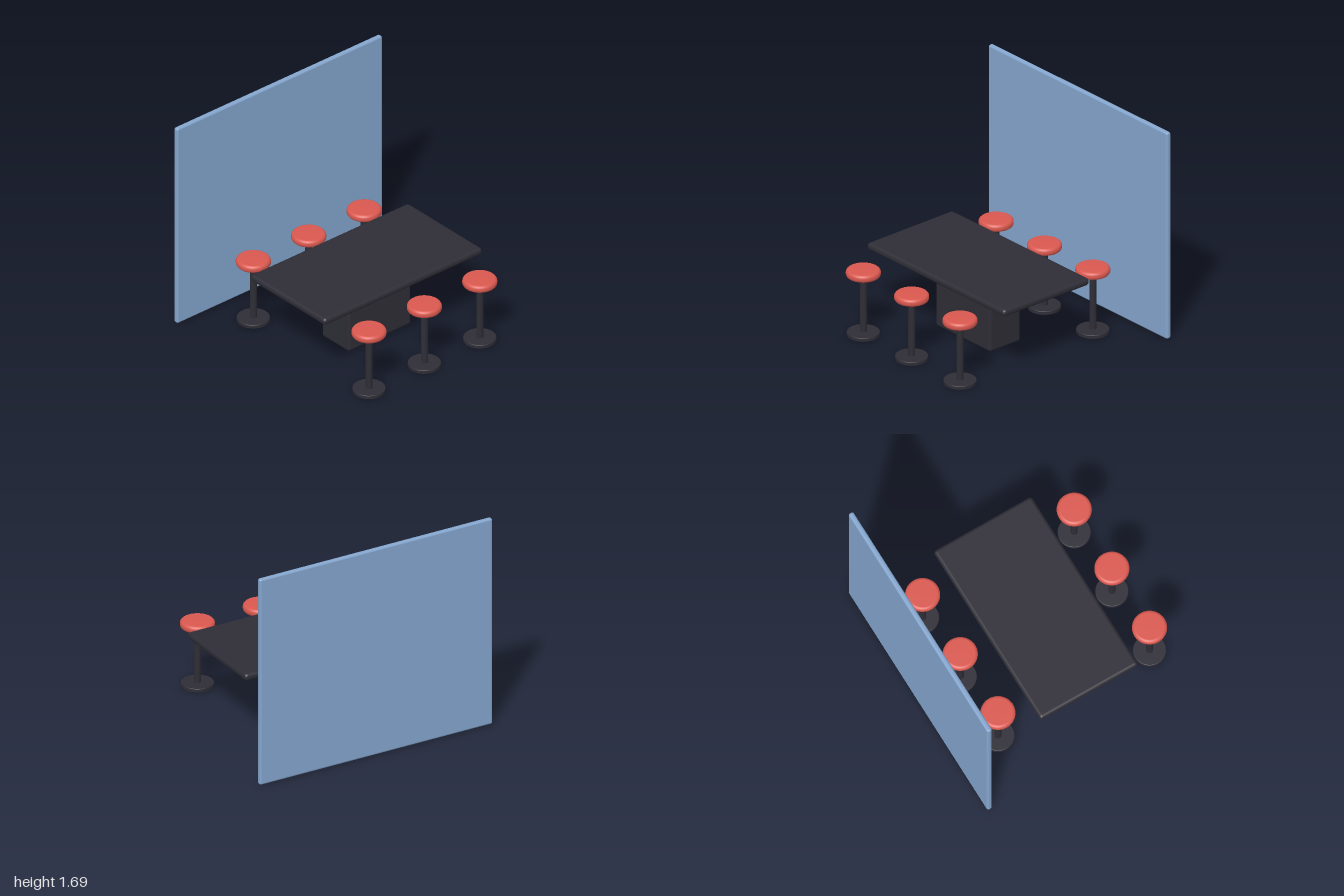
import * as THREE from 'three';
import { RoundedBoxGeometry } from 'three/addons/geometries/RoundedBoxGeometry.js';

const material = (name, color) => {
  const m = new THREE.MeshStandardMaterial({ color });
  m.name = name;
  return m;
};

export function createModel() {
  const red = material('seat red', 0xd9584f);
  const dark = material('charcoal', 0x2e2d36);
  const blue = material('panel blue', 0x84a5cd);
  const model = new THREE.Group();
  model.name = 'diningSet';

  const add = (parent, name, geometry, mat, x, y, z) => {
    const mesh = new THREE.Mesh(geometry, mat);
    mesh.name = name;
    mesh.position.set(x, y, z);
    parent.add(mesh);
    return mesh;
  };
  const box = (w, h, d, r) => new RoundedBoxGeometry(w, h, d, 4, r);

  // Disc standing on y = 0 with a rounded rim
  const disc = (radius, height, r) => {
    const points = [new THREE.Vector2(0, 0)];
    const steps = 5;
    for (const [cy, start] of [[r, -Math.PI / 2], [height - r, 0]]) {
      for (let i = 0; i <= steps; i++) {
        const a = start + (i / steps) * Math.PI / 2;
        points.push(new THREE.Vector2(radius - r + Math.cos(a) * r, cy + Math.sin(a) * r));
      }
    }
    points.push(new THREE.Vector2(0, height));
    return new THREE.LatheGeometry(points, 40);
  };

  // Partition wall and table
  add(model, 'partitionWall', box(0.042, 1.69, 2, 0.016), blue, -0.879, 0.845, 0);
  add(model, 'tableTop', box(0.842, 0.058, 1.54, 0.026), dark, 0.115, 0.569, 0);
  add(model, 'tablePedestal', box(0.304, 0.54, 0.614, 0.024), dark, 0.117, 0.271, 0);

  // Three stools on each side of the table
  const seat = disc(0.13, 0.06, 0.025);
  const pole = new THREE.CylinderGeometry(0.026, 0.026, 0.47, 24);
  const base = disc(0.123, 0.031, 0.005);
  for (const x of [-0.535, 0.768]) {
    for (const z of [-0.54, 0, 0.54]) {
      const stool = new THREE.Group();
      stool.name = 'stool';
      stool.position.set(x, 0, z);
      add(stool, 'stoolSeat', seat, red, 0, 0.48, 0);
      add(stool, 'stoolPole', pole, dark, 0, 0.255, 0);
      add(stool, 'stoolBase', base, dark, 0, 0, 0);
      model.add(stool);
    }
  }
  return model;
}
